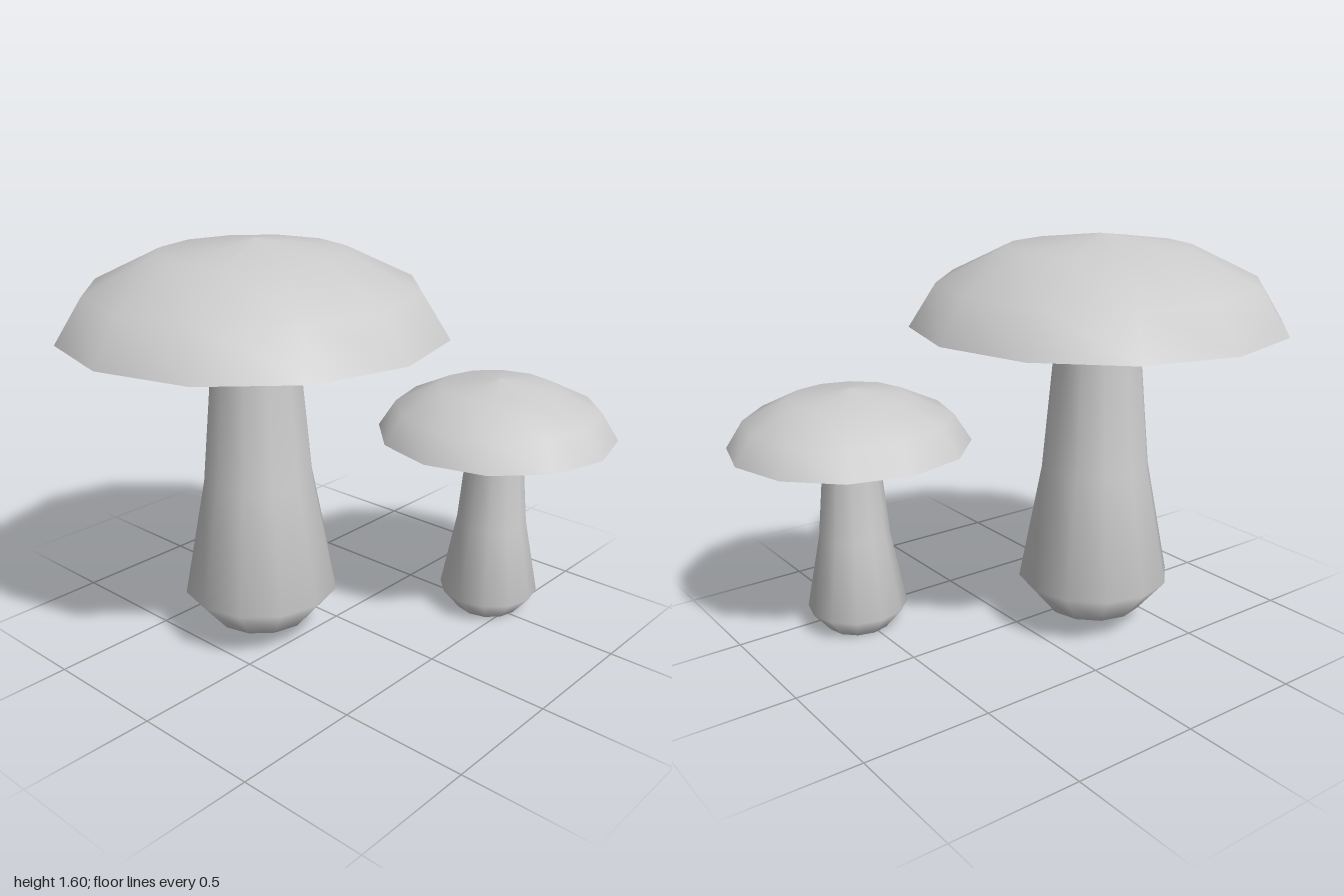
import * as THREE from 'three';

const SIDES = 12;
const material = new THREE.MeshStandardMaterial({ color: 0xcccccc, side: THREE.DoubleSide });

// Profiles as [radius, height], listed so that the surfaces face outward
const STEM = [[0.195, 0], [0.305, 0.13], [0.215, 0.595], [0.17, 1.075]];
const GILLS = [[0.17, 1.075], [0.725, 1.17]];
const CAP = [[0.725, 1.17], [0.62, 1.335], [0.355, 1.463], [0, 1.51]];

function lathePart(name, profile) {
  const points = profile.map(([r, y]) => new THREE.Vector2(r, y));
  const mesh = new THREE.Mesh(new THREE.LatheGeometry(points, SIDES), material);
  mesh.name = name;
  return mesh;
}

// Hollow stem, open at the foot, under a faceted dome with a crisp rim
function createMushroom(name, x, y, z, scale) {
  const mushroom = new THREE.Group();
  mushroom.name = name;
  mushroom.add(
    lathePart('stem', STEM),
    lathePart('capUnderside', GILLS),
    lathePart('capTop', CAP)
  );
  mushroom.position.set(x, y, z);
  mushroom.scale.setScalar(scale);
  return mushroom;
}

export function createModel() {
  const model = new THREE.Group();
  model.name = 'mushrooms';
  model.add(
    createMushroom('largeMushroom', -0.16, 0.085, 0.272, 1),
    createMushroom('smallMushroom', 0.4, 0, -0.52, 0.662)
  );
  return model;
}
